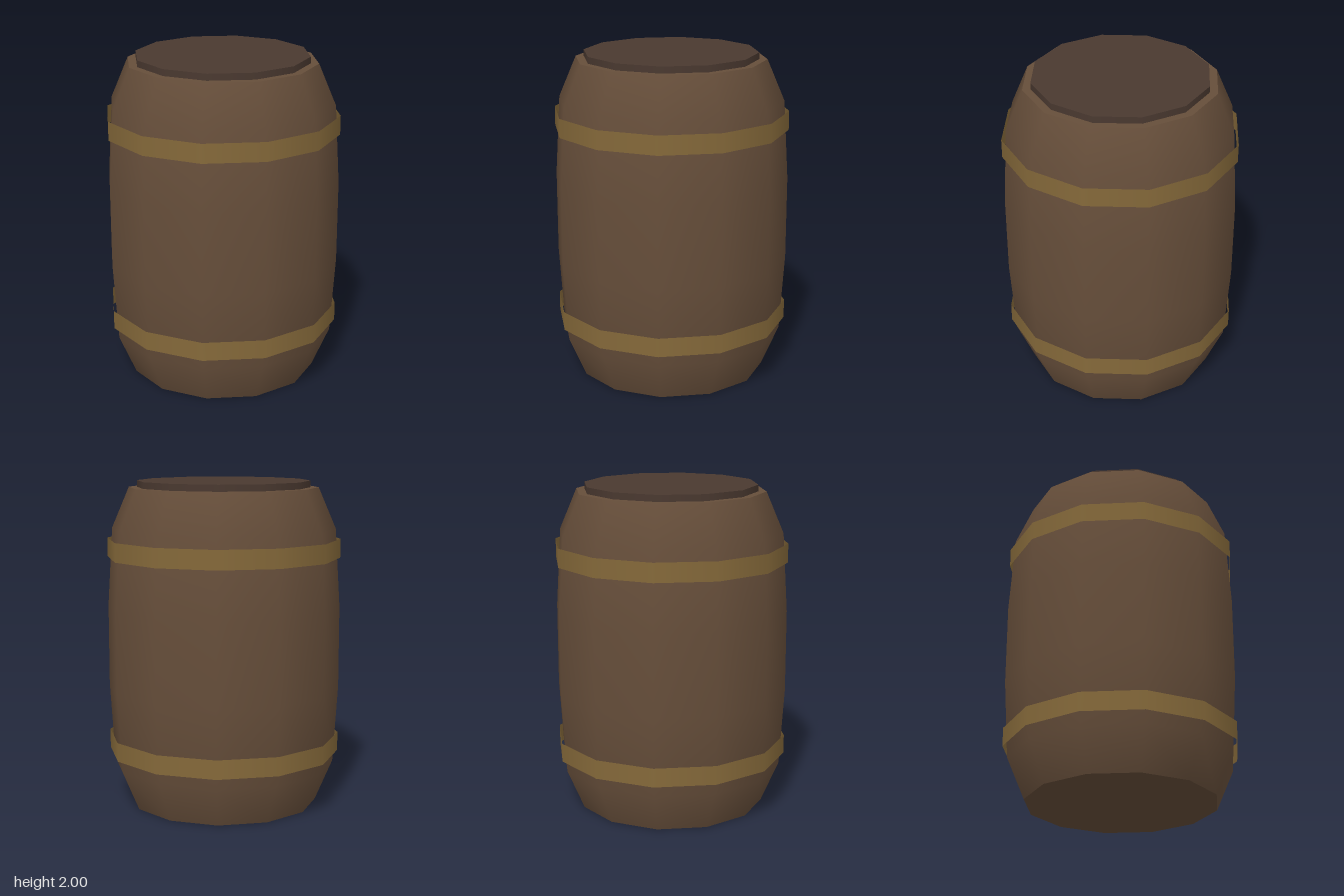
import * as THREE from 'three';

const SIDES = 12;
const TURN = Math.PI / SIDES; // puts flat sides on the x and z axes
const toCorner = (flat) => flat / Math.cos(TURN); // flat-side distance to corner radius

export function createModel() {
  const barrel = new THREE.Group();
  barrel.name = 'barrel';

  const wood = new THREE.MeshStandardMaterial({ color: 0x664e3a });
  const darkWood = new THREE.MeshStandardMaterial({ color: 0x4a3930 });
  const metal = new THREE.MeshStandardMaterial({ color: 0x85693a, side: THREE.DoubleSide });

  function add(name, geometry, material, y = 0) {
    const mesh = new THREE.Mesh(geometry, material);
    mesh.name = name;
    mesh.position.y = y;
    barrel.add(mesh);
    return mesh;
  }

  // Bulging wall, smooth around and along its height
  const profile = [
    [0.56, 0], [0.663, 0.25], [0.692, 0.73], [0.692, 1.23], [0.663, 1.71], [0.56, 1.96],
  ].map(([flat, y]) => new THREE.Vector2(toCorner(flat), y));
  add('staves', new THREE.LatheGeometry(profile, SIDES, TURN), wood);

  // Flat ends closing the wall
  const end = new THREE.CircleGeometry(toCorner(0.56), SIDES, TURN);
  add('topRim', end, wood, 1.96).rotation.x = -Math.PI / 2;
  add('bottom', end, wood, 0).rotation.x = Math.PI / 2;

  // Raised lid
  const lidRadius = toCorner(0.512);
  add('lid', new THREE.CylinderGeometry(lidRadius, lidRadius, 0.04, SIDES, 1, false, TURN), darkWood, 1.98);

  // Thin open hoops
  const hoopRadius = toCorner(0.692);
  const hoop = new THREE.CylinderGeometry(hoopRadius, hoopRadius, 0.116, SIDES, 1, true, TURN);
  add('lowerHoop', hoop, metal, 0.377);
  add('upperHoop', hoop, metal, 1.59);

  return barrel;
}
